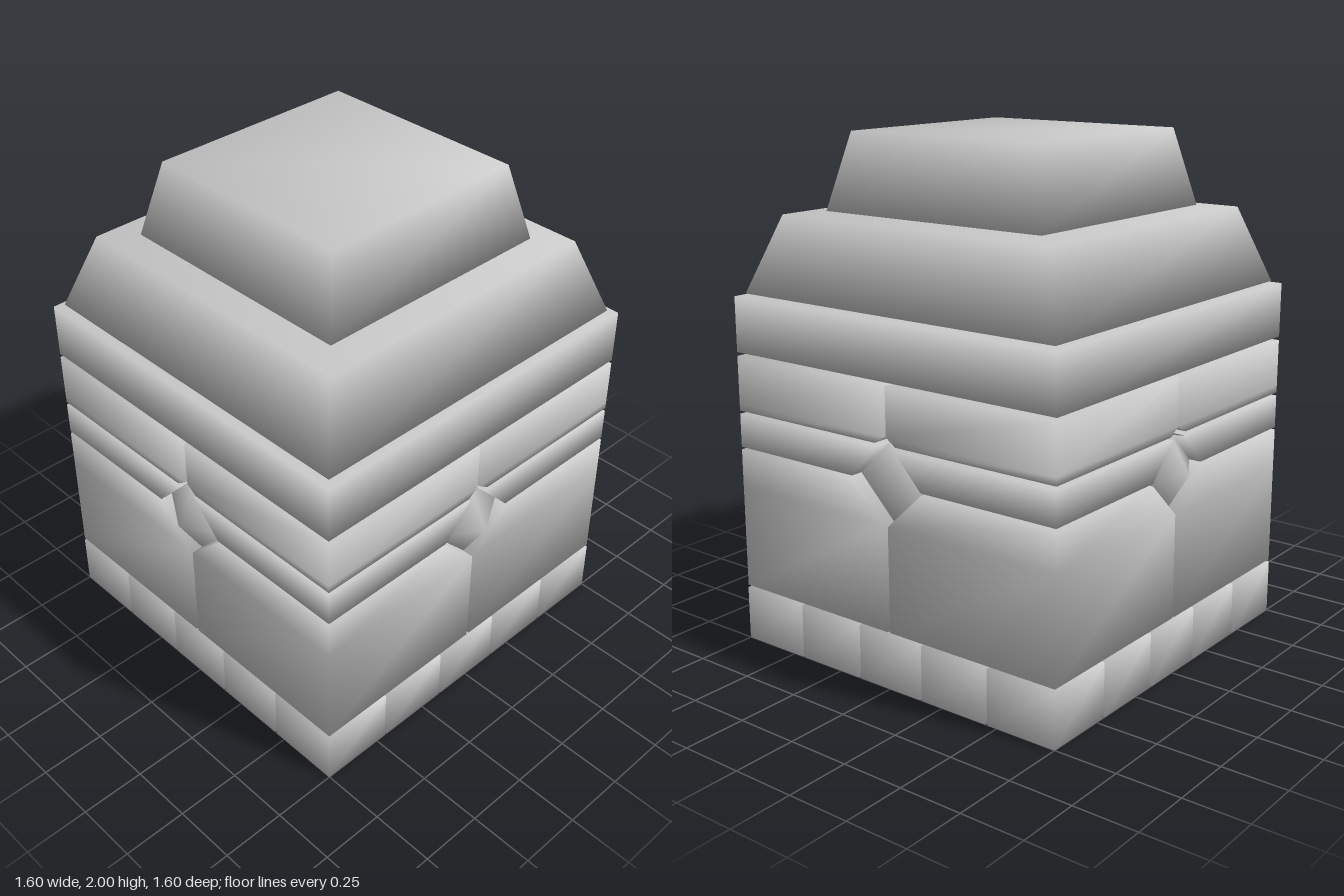
import * as THREE from 'three';
import { mergeVertices } from 'three/addons/utils/BufferGeometryUtils.js';

const material = new THREE.MeshStandardMaterial({ color: 0xcccccc });

// Stack of square sections [y, min, max] (same span in x and z), with shared, smoothly shaded corners
function loft(sections) {
  const positions = [];
  const index = [];
  for (const [y, a, b] of sections) {
    positions.push(a, y, b, b, y, b, b, y, a, a, y, a);
  }
  for (let s = 0; s < sections.length - 1; s++) {
    for (let i = 0; i < 4; i++) {
      const p = s * 4 + i;
      const q = s * 4 + (i + 1) % 4;
      index.push(p, q, q + 4, p, q + 4, p + 4);
    }
  }
  const t = (sections.length - 1) * 4;
  index.push(0, 2, 1, 0, 3, 2, t, t + 1, t + 2, t, t + 2, t + 3);
  const geometry = new THREE.BufferGeometry();
  geometry.setAttribute('position', new THREE.Float32BufferAttribute(positions, 3));
  geometry.setIndex(index);
  geometry.computeVertexNormals();
  return geometry;
}

export function createModel() {
  const model = new THREE.Group();
  const add = (name, geometry, parent = model) => {
    const mesh = new THREE.Mesh(geometry, material);
    mesh.name = name;
    parent.add(mesh);
    return mesh;
  };

  // Base: five by five paving blocks
  const base = new THREE.Group();
  base.name = 'baseBlocks';
  model.add(base);
  const footing = loft([[0.005, -0.147, 0.147], [0.22, -0.147, 0.147]]);
  for (let i = -2; i <= 2; i++) {
    for (let j = -2; j <= 2; j++) {
      add('baseBlock', footing, base).position.set(i * 0.302, 0, j * 0.302);
    }
  }

  // Quarter blocks and their bevels, which leave room for the studs
  const E = 0.75;
  const quarters = {
    wallBlock: loft([[0.23, 0.006, E], [0.64, 0.006, E], [0.79, 0.165, E]]),
    lowerCourse: loft([[0.8, 0.165, E], [0.932, 0.04, E]]),
    upperCourse: loft([[0.945, 0.05, E], [0.975, 0.006, E], [1.16, 0.006, E]]),
  };

  // Pointed stud, flattened along z
  let studShape = new THREE.OctahedronGeometry(1);
  studShape.deleteAttribute('normal');
  studShape.deleteAttribute('uv');
  studShape = mergeVertices(studShape);
  studShape.scale(0.165, 0.165, 0.1);
  studShape.computeVertexNormals();

  // Four corners and four sides
  for (let k = 0; k < 4; k++) {
    const side = new THREE.Group();
    side.name = 'wallQuarter';
    side.rotation.y = k * Math.PI / 2;
    for (const [name, geometry] of Object.entries(quarters)) add(name, geometry, side);
    add('stud', studShape, side).position.set(0, 0.8, 0.7);
    model.add(side);
  }

  // Full-width slab and the two tapered roof tiers
  add('slab', loft([[1.175, -E, E], [1.39, -E, E]]));
  add('lowerRoof', loft([[1.4, -0.72, 0.72], [1.695, -0.615, 0.615]]));
  add('upperRoof', loft([[1.705, -0.5, 0.5], [2, -0.43, 0.43]]));

  return model;
}
